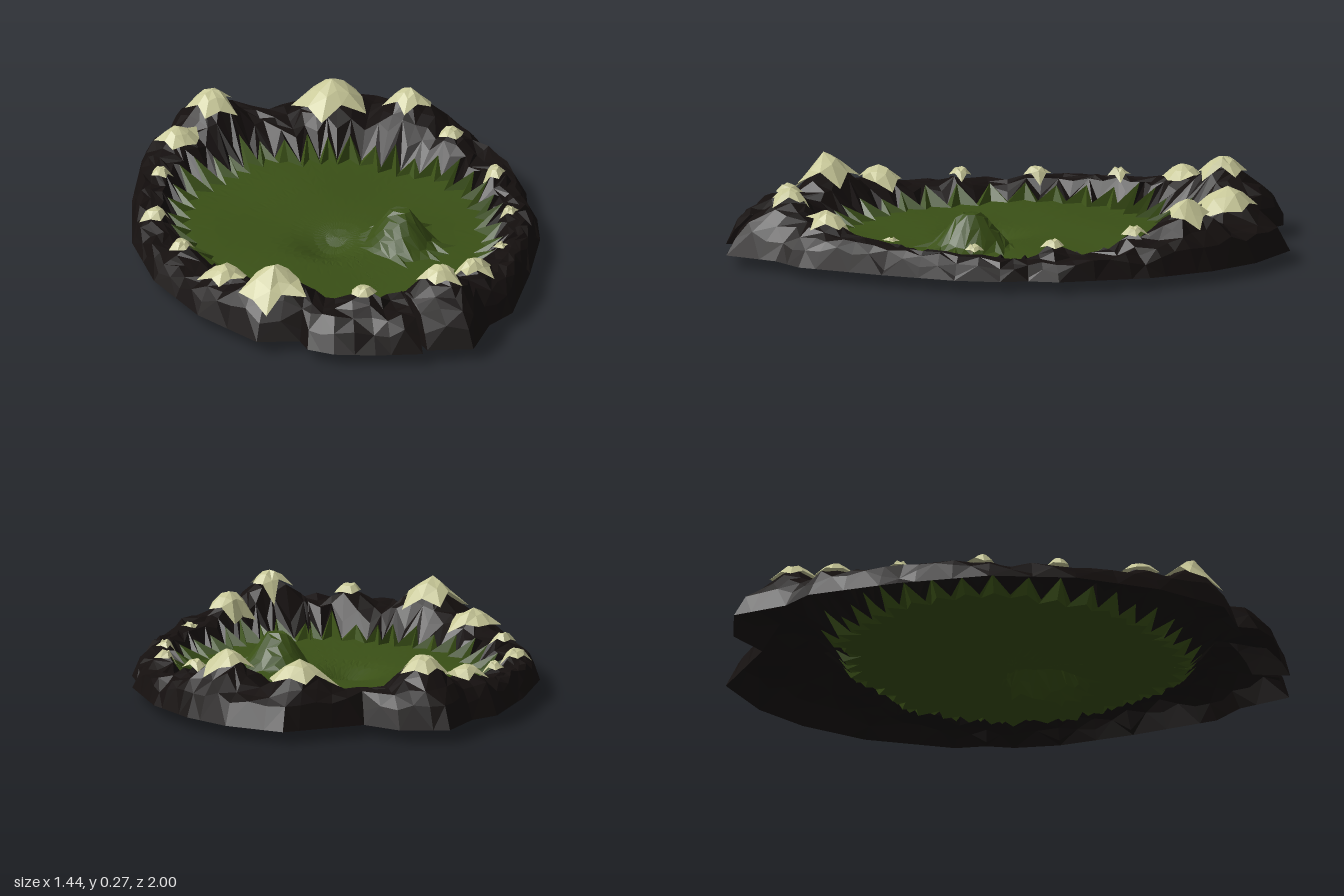
import * as THREE from 'three';

const BASE = 0.035, FLOOR = 0.045;

// Plan outlines as [x, z], clockwise from the back
const OUTER = [
  [-0.2, -1], [-0.03, -0.97], [0.07, -0.85], [0.37, -0.92], [0.54, -0.77], [0.64, -0.6],
  [0.71, -0.37], [0.72, -0.05], [0.685, 0.05], [0.68, 0.15], [0.63, 0.3], [0.5, 0.53],
  [0.33, 0.79], [0.22, 0.85], [0.1, 1], [-0.05, 0.95], [-0.06, 0.84], [-0.075, 0.97],
  [-0.23, 0.92], [-0.36, 0.86], [-0.43, 0.79], [-0.43, 0.72], [-0.57, 0.67], [-0.68, 0.4],
  [-0.7, 0.25], [-0.72, 0.1], [-0.7, -0.05], [-0.68, -0.2], [-0.56, -0.5], [-0.41, -0.78], [-0.31, -0.84],
];
const INNER = [
  [0, -0.64], [0.05, -0.57], [0.3, -0.48], [0.36, -0.38], [0.5, -0.25], [0.53, 0], [0.49, 0.2],
  [0.44, 0.35], [0.27, 0.5], [0.1, 0.63], [-0.1, 0.63], [-0.29, 0.5], [-0.4, 0.35],
  [-0.49, 0.2], [-0.52, 0], [-0.5, -0.25], [-0.36, -0.48], [-0.2, -0.57],
];
// Peaks as [x, z, height, cap radius]
const PEAKS = [
  [-0.15, -0.78, 0.26, 0.09], [-0.32, -0.67, 0.2, 0.085], [0.27, -0.72, 0.25, 0.125],
  [0.49, -0.54, 0.26, 0.085], [0.56, -0.34, 0.185, 0.05], [0.6, -0.05, 0.16, 0.045],
  [0.55, 0.22, 0.135, 0.035], [0.41, 0.48, 0.14, 0.03], [0.23, 0.67, 0.21, 0.08],
  [0.07, 0.77, 0.26, 0.08], [-0.2, 0.73, 0.21, 0.05], [-0.46, 0.56, 0.26, 0.115],
  [-0.56, 0.35, 0.185, 0.09], [-0.6, 0.06, 0.15, 0.045], [-0.59, -0.21, 0.15, 0.055],
  [-0.46, -0.47, 0.16, 0.04],
];

let seed = 7;
const rand = () => (seed = (seed * 16807) % 2147483647) / 2147483647;

const angleOf = (x, z) => (Math.atan2(x, -z) + 2 * Math.PI) % (2 * Math.PI);
const toPolar = (pts) => pts.map(([x, z]) => ({ a: angleOf(x, z), r: Math.hypot(x, z) })).sort((p, q) => p.a - q.a);
const outerPolar = toPolar(OUTER), innerPolar = toPolar(INNER);

// Radius of an outline in a given direction
function radiusAt(list, a) {
  const n = list.length;
  const k = list.findIndex((p) => p.a > a);
  const hi = list[k < 0 ? 0 : k], lo = list[((k < 0 ? 0 : k) + n - 1) % n];
  const turn = 2 * Math.PI;
  const span = (hi.a - lo.a + turn) % turn;
  return THREE.MathUtils.lerp(lo.r, hi.r, ((a - lo.a + turn) % turn) / span);
}

// Mountain height: a low ridge and cones, cut off by the slopes to both rims
function mountainHeight(x, z) {
  const a = angleOf(x, z), r = Math.hypot(x, z);
  const fromOuter = Math.max(0, radiusAt(outerPolar, a) - r);
  const fromInner = Math.max(0, r - radiusAt(innerPolar, a));
  let y = 0.1 + 0.06 * Math.abs(z);
  for (const [px, pz, h] of PEAKS) y = Math.max(y, h - 0.75 * Math.hypot(x - px, z - pz));
  return Math.min(y, BASE + Math.min(fromOuter * 2.2, 0.06 + fromOuter * 0.85), FLOOR + fromInner * 1.8);
}

// Ground height: gentle bumps, one lopsided hill with a hollow beside it
function groundHeight(x, z) {
  const hill = Math.max(0, 1 - Math.hypot((x - 0.17) / 0.12, (z - 0.16) / 0.14));
  const hollow = Math.exp(-(((x + 0.06) / 0.09) ** 2) - ((z - 0.06) / 0.1) ** 2);
  return FLOOR + 0.17 * Math.min(hill, 0.7) - 0.05 * hollow + 0.006 * Math.sin(9 * x + 5 * z) * Math.cos(8 * z - 3 * x);
}

// Closed strip surface through rows of points, outermost row first
function loft(rows) {
  const n = rows[0].length, index = [];
  for (let r = 0; r < rows.length - 1; r++) {
    for (let j = 0; j < n; j++) {
      const k = (j + 1) % n;
      const a = r * n + j, b = a + n, c = (r + 1) * n + k, d = r * n + k;
      if ((r + j) % 2) index.push(a, b, c, a, c, d);
      else index.push(a, b, d, b, c, d);
    }
  }
  const geo = new THREE.BufferGeometry();
  geo.setAttribute('position', new THREE.Float32BufferAttribute(rows.flat(2), 3));
  geo.setIndex(index);
  geo.computeVertexNormals();
  return geo;
}

export function createModel() {
  const group = new THREE.Group();
  const material = (color) => new THREE.MeshStandardMaterial({ color, flatShading: true, side: THREE.DoubleSide });
  const add = (name, geo, mat) => {
    const mesh = new THREE.Mesh(geo, mat);
    mesh.name = name;
    group.add(mesh);
  };

  // Columns along the outer rim, with a zigzag where rock meets grass
  const columns = [];
  OUTER.forEach(([x, z], i) => {
    const [nx, nz] = OUTER[(i + 1) % OUTER.length];
    const steps = Math.max(1, Math.round(Math.hypot(nx - x, nz - z) / 0.065));
    for (let s = 0; s < steps; s++) {
      const px = x + ((nx - x) * s) / steps, pz = z + ((nz - z) * s) / steps;
      const a = angleOf(px, pz);
      const zig = (columns.length % 2 ? 0.035 : -0.02) + (rand() - 0.5) * 0.03;
      columns.push({ sin: Math.sin(a), cos: -Math.cos(a), out: Math.hypot(px, pz), inn: radiusAt(innerPolar, a) + zig });
    }
  });
  const seam = columns.map((c) => {
    const x = c.sin * c.inn, z = c.cos * c.inn;
    return [x, mountainHeight(x, z), z];
  });

  // Mountain ring
  const rockRows = [0, 0.1, 0.24, 0.38, 0.52, 0.66, 0.83].map((t) => columns.map((c) => {
    const wobble = t > 0.1 ? (rand() - 0.5) * 0.07 : 0;
    const r = THREE.MathUtils.lerp(c.out, c.inn, t + wobble);
    const x = c.sin * r, z = c.cos * r;
    return [x, t ? mountainHeight(x, z) - rand() * 0.018 : BASE, z];
  }));
  add('mountainRing', loft([...rockRows, seam]), material(0x15100f));

  // Grassy plain
  const grassRows = [];
  for (let i = 1; i <= 14; i++) {
    const f = 1 - i / 14;
    grassRows.push(columns.map((c) => {
      const r = c.inn * f;
      const x = c.sin * r, z = c.cos * r;
      return [x, groundHeight(x, z), z];
    }));
  }
  add('grassPlain', loft([seam, ...grassRows]), material(0x3a5016));

  // Pale jagged caps draped over the peaks
  const capMaterial = material(0xc8c898);
  PEAKS.forEach(([px, pz, h, radius]) => {
    const sides = radius > 0.07 ? 10 : 8;
    const jag = Array.from({ length: sides }, (_, i) => radius * ((i % 2 ? 0.7 : 1) + (rand() - 0.5) * 0.35));
    const rows = [1, 0.5, 0].map((f) => jag.map((r, i) => {
      const a = (i / sides) * 2 * Math.PI;
      const x = px + Math.sin(a) * r * f, z = pz - Math.cos(a) * r * f;
      return [x, f ? mountainHeight(x, z) + 0.008 + (f < 1 ? rand() * 0.01 : 0) : h, z];
    }));
    add('peakCap', loft(rows), capMaterial);
  });

  return group;
}
